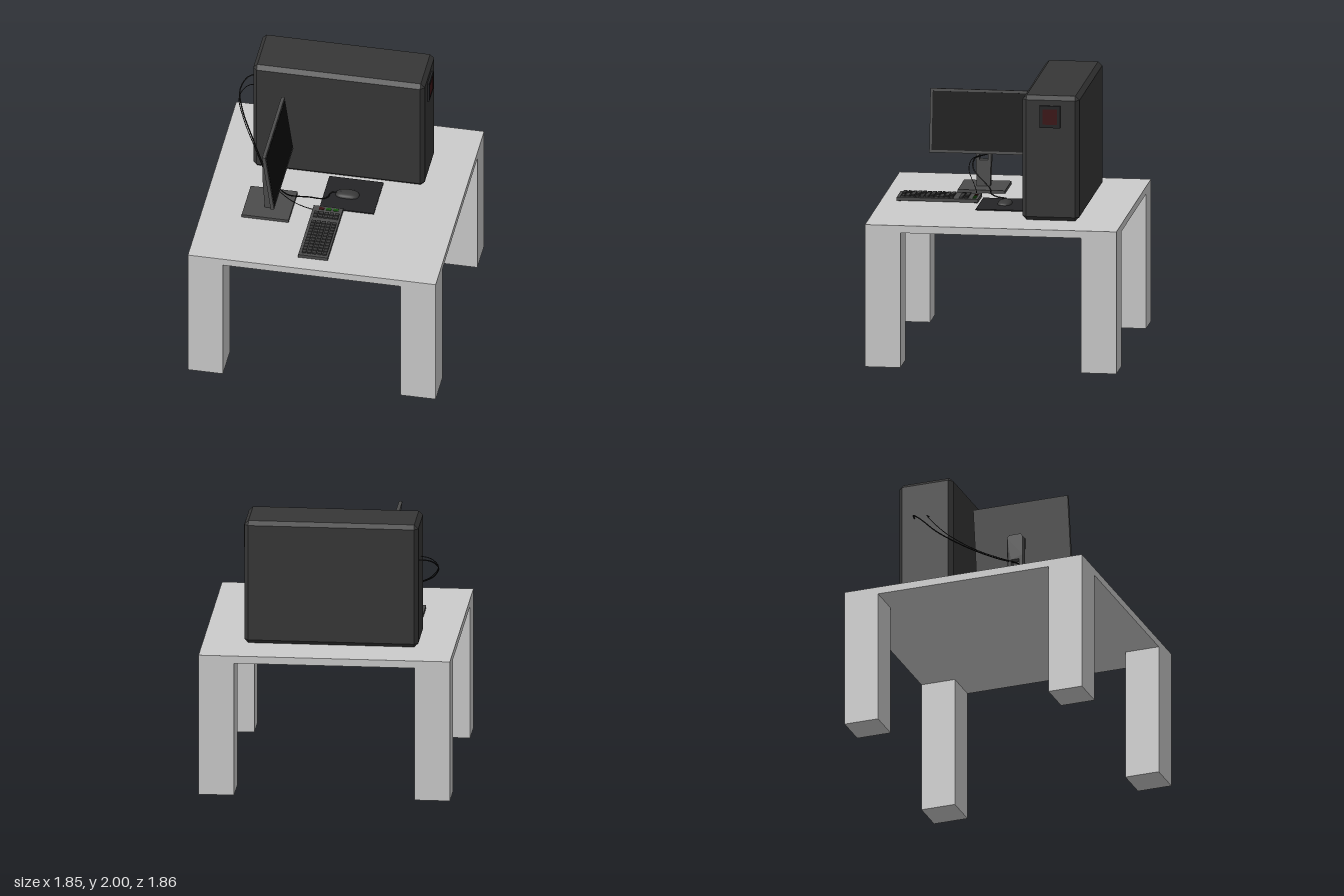
import * as THREE from 'three';
import { ConvexGeometry } from 'three/addons/geometries/ConvexGeometry.js';

const mat = (color, flatShading = false) => new THREE.MeshStandardMaterial({ color, flatShading });
const GREY = mat(0xcccccc), CASE = mat(0x363636, true), PLASTIC = mat(0x4c4c4c), DARK = mat(0x242426);
const KEY = mat(0x3a3a3a), SCREEN = mat(0x0c0c0c), CABLE = mat(0x141414), RED = mat(0x3c1416), GREEN = mat(0x1c5a14);

function add(parent, name, geometry, material) {
  const mesh = new THREE.Mesh(geometry, material);
  mesh.name = name;
  parent.add(mesh);
  return mesh;
}

// Box given by its limits on each axis
function box(parent, name, material, x0, x1, y0, y1, z0, z1) {
  const mesh = add(parent, name, new THREE.BoxGeometry(x1 - x0, y1 - y0, z1 - z0), material);
  mesh.position.set((x0 + x1) / 2, (y0 + y1) / 2, (z0 + z1) / 2);
  return mesh;
}

function group(parent, name) {
  const g = new THREE.Group();
  g.name = name;
  parent.add(g);
  return g;
}

// Box with every edge chamfered by c
function chamferBox(w, h, d, c) {
  const points = [];
  for (const sx of [-1, 1]) for (const sy of [-1, 1]) for (const sz of [-1, 1]) {
    const x = sx * w / 2, y = sy * h / 2, z = sz * d / 2;
    points.push(
      new THREE.Vector3(x, y - sy * c, z - sz * c),
      new THREE.Vector3(x - sx * c, y, z - sz * c),
      new THREE.Vector3(x - sx * c, y - sy * c, z));
  }
  return new ConvexGeometry(points);
}

function cable(parent, name, radius, points) {
  const curve = new THREE.CatmullRomCurve3(points.map(p => new THREE.Vector3(...p)));
  add(parent, name, new THREE.TubeGeometry(curve, 48, radius, 6), CABLE);
}

function buildTable(root) {
  const table = group(root, 'table');
  box(table, 'tableTop', GREY, -0.925, 0.925, 1.01, 1.065, -0.93, 0.93);
  for (const sx of [-1, 1]) for (const sz of [-1, 1]) {
    const leg = box(table, 'tableLeg', GREY, -0.131, 0.131, 0, 1.01, -0.131, 0.131);
    leg.position.x = sx * 0.794;
    leg.position.z = sz * 0.799;
  }
}

function buildTower(root) {
  const tower = group(root, 'computerTower');
  add(tower, 'towerCase', chamferBox(1.28, 0.935, 0.42, 0.03), CASE).position.set(-0.02, 1.5325, -0.4);
  box(tower, 'powerButtonFrame', DARK, 0.615, 0.634, 1.765, 1.93, -0.473, -0.32);
  box(tower, 'powerButton', RED, 0.63, 0.636, 1.79, 1.905, -0.45, -0.344);
}

function buildMonitor(root) {
  const monitor = group(root, 'monitor');
  box(monitor, 'standBase', PLASTIC, -0.625, -0.275, 1.065, 1.087, 0.06, 0.41);

  // Neck outline seen from the side, with a cable opening
  const outline = new THREE.Shape([
    [-0.05, 1.08], [0.05, 1.08], [0.06, 1.36], [0.06, 1.51], [0.045, 1.53],
    [-0.045, 1.53], [-0.06, 1.51], [-0.06, 1.36],
  ].map(p => new THREE.Vector2(...p)));
  outline.holes.push(new THREE.Path([
    [-0.032, 1.28], [-0.032, 1.33], [0.032, 1.33], [0.032, 1.28],
  ].map(p => new THREE.Vector2(...p))));
  const neck = new THREE.ExtrudeGeometry(outline, { depth: 0.055, bevelEnabled: false });
  neck.rotateY(Math.PI / 2).translate(-0.475, 0, 0.24);
  // Lean the middle of the neck backwards
  const pos = neck.attributes.position;
  for (let i = 0; i < pos.count; i++) {
    pos.setX(i, pos.getX(i) - 0.016 * Math.min(1, (pos.getY(i) - 1.08) / 0.28));
  }
  neck.computeVertexNormals();
  add(monitor, 'standNeck', neck, PLASTIC);
  box(monitor, 'screenMount', PLASTIC, -0.45, -0.385, 1.45, 1.53, 0.195, 0.285);

  // Tilted panel facing +x
  const panel = group(monitor, 'screenPanel');
  panel.position.set(-0.385, 1.577, 0.26);
  panel.rotation.z = 0.139;
  box(panel, 'screenHousing', PLASTIC, -0.0125, 0.0125, -0.236, 0.236, -0.37, 0.37);
  box(panel, 'screen', SCREEN, 0.01, 0.0145, -0.217, 0.217, -0.352, 0.352);
}

function buildKeyboard(root) {
  const keyboard = group(root, 'keyboard');
  box(keyboard, 'keyboardBody', PLASTIC, -0.125, 0.095, 1.072, 1.097, 0.21, 0.81);
  for (const z of [0.23, 0.79]) box(keyboard, 'keyboardFoot', DARK, -0.11, 0.08, 1.065, 1.073, z - 0.01, z + 0.01);
  // Key blocks: start along z and number of rows
  for (const [start, rows] of [[0.3, 2], [0.41, 11]]) {
    for (let r = 0; r < rows; r++) for (let c = 0; c < 5; c++) {
      const x = -0.088 + c * 0.0385, z = start + r * 0.036;
      box(keyboard, 'key', KEY, x - 0.015, x + 0.015, 1.095, 1.108, z - 0.014, z + 0.014);
    }
  }
  [RED, GREEN, GREEN].forEach((m, i) => {
    const x = -0.06 + i * 0.053;
    box(keyboard, 'indicatorLight', m, x - 0.019, x + 0.019, 1.095, 1.101, 0.228, 0.254);
  });
}

function buildMouse(root) {
  box(root, 'mousePad', DARK, -0.085, 0.32, 1.065, 1.073, -0.183, 0.195);
  // Squarish dome, flat underneath
  const dome = new THREE.SphereGeometry(1, 28, 10, 0, Math.PI * 2, 0, Math.PI / 2);
  const p = dome.attributes.position;
  const soften = v => Math.sign(v) * Math.pow(Math.abs(v), 0.75);
  for (let i = 0; i < p.count; i++) {
    p.setXYZ(i, 0.0875 * soften(p.getX(i)), 0.027 * p.getY(i), 0.052 * soften(p.getZ(i)));
  }
  dome.computeVertexNormals();
  const mouse = group(root, 'mouse');
  mouse.position.set(0.088, 1.073, 0.01);
  add(mouse, 'mouseBody', dome, KEY);
  box(mouse, 'scrollWheel', DARK, -0.06, -0.035, 0.012, 0.025, -0.005, 0.005);
}

function buildCables(root) {
  const cables = group(root, 'cables');
  // Both cables run from the tower, through the stand, to a device
  cable(cables, 'mouseCable', 0.005, [
    [-0.65, 1.705, -0.485], [-0.74, 1.69, -0.46], [-0.79, 1.62, -0.38], [-0.75, 1.52, -0.27],
    [-0.63, 1.41, -0.07], [-0.52, 1.34, 0.12], [-0.46, 1.315, 0.23], [-0.38, 1.3, 0.3],
    [-0.31, 1.24, 0.3], [-0.22, 1.155, 0.2], [-0.16, 1.12, 0.15], [-0.08, 1.105, 0.135],
    [-0.04, 1.09, 0.08], [-0.035, 1.085, 0.02], [0.01, 1.085, 0.01],
  ]);
  cable(cables, 'keyboardCable', 0.003, [
    [-0.65, 1.7, -0.37], [-0.73, 1.68, -0.36], [-0.782, 1.61, -0.31], [-0.73, 1.5, -0.2],
    [-0.62, 1.4, -0.03], [-0.52, 1.34, 0.14], [-0.46, 1.31, 0.25], [-0.38, 1.295, 0.32],
    [-0.3, 1.23, 0.33], [-0.22, 1.14, 0.28], [-0.16, 1.1, 0.255], [-0.115, 1.088, 0.25],
  ]);
}

export function createModel() {
  const root = new THREE.Group();
  root.name = 'computerDesk';
  [buildTable, buildTower, buildMonitor, buildKeyboard, buildMouse, buildCables].forEach(build => build(root));
  return root;
}
